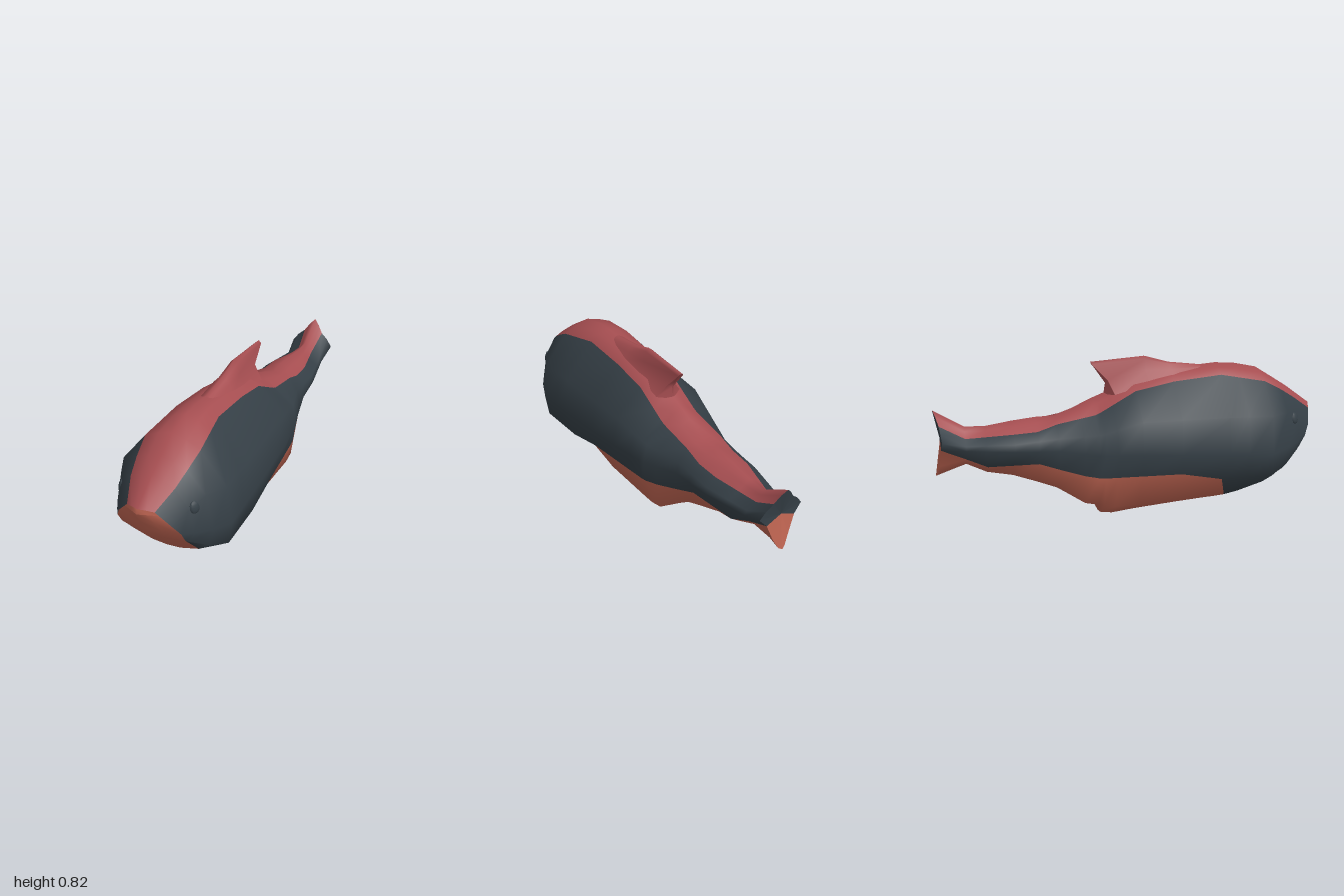
import * as THREE from 'three';

// Lengthwise guide lines on the left half, nose to tail: [z, x, y]
const back = [[.995, 0, .525], [.85, 0, .63], [.68, 0, .735], [.5, 0, .773], [.37, 0, .76], [.2, 0, .75], [0, 0, .71],
  [-.13, 0, .645], [-.2, 0, .62], [-.4, 0, .53], [-.5, 0, .535], [-.7, 0, .515], [-.82, 0, .49], [-1, 0, .6]];
const redEdge = [[.965, .07, .51], [.87, .11, .575], [.7, .145, .68], [.44, .11, .725], [.2, .105, .7], [0, .1, .66],
  [-.2, .1, .55], [-.4, .1, .515], [-.5, .1, .482], [-.62, .095, .475], [-.85, .042, .455], [-.975, .055, .53]];
const shoulder = [[.94, .135, .44], [.8, .207, .53], [.68, .27, .525], [.4, .266, .535], [0, .245, .53], [-.2, .207, .47],
  [-.4, .147, .45], [-.62, .143, .435], [-.85, .095, .43], [-.97, .09, .5]];
const flank = [[.91, .165, .385], [.8, .245, .355], [.68, .295, .335], [.4, .283, .345], [0, .263, .37], [-.2, .227, .37],
  [-.4, .157, .39], [-.62, .15, .4], [-.85, .108, .41], [-.965, .12, .46]];
const lowerFlank = [[.88, .165, .33], [.8, .22, .265], [.68, .277, .215], [.41, .267, .215], [.2, .258, .255],
  [-.2, .212, .25], [-.3, .182, .265], [-.5, .13, .325], [-.75, .1, .32], [-.85, .075, .36], [-.97, .08, .415]];
const belly = [[.87, .16, .32], [.78, .175, .215], [.65, .155, .125], [.48, .125, .08], [.2, .155, .075], [-.12, .157, .077],
  [-.21, .172, .1], [-.28, .17, .115], [-.4, .09, .19], [-.6, .065, .255], [-.75, .05, .285], [-.86, .045, .335],
  [-.98, .045, .325]];
const keel = [[.89, 0, .31], [.78, 0, .18], [.68, 0, .11], [.5, 0, .045], [.2, 0, .035], [0, 0, .015], [-.12, 0, 0],
  [-.19, 0, .01], [-.21, 0, .07], [-.28, 0, .095], [-.4, 0, .16], [-.6, 0, .24], [-.75, 0, .27], [-.86, 0, .325], [-1, 0, .265]];

const STATIONS = [.86, .78, .68, .55, .45, .2, 0, -.12, -.18, -.21, -.28, -.4, -.5, -.62, -.75, -.85];
const THROAT = STATIONS.indexOf(.45) + 1;

// Point of a guide line at z, clamped to its ends
function at(line, z) {
  if (z >= line[0][0]) z = line[0][0];
  let k = 1;
  while (k < line.length - 1 && line[k][0] > z) k++;
  const [a, b] = [line[k - 1], line[k]];
  const t = Math.min(1, (a[0] - z) / (a[0] - b[0]));
  return new THREE.Vector3(a[1] + (b[1] - a[1]) * t, a[2] + (b[2] - a[2]) * t, a[0] + (b[0] - a[0]) * t);
}

const mirror = v => new THREE.Vector3(-v.x, v.y, v.z);

// Closed cross-section: 9 points down the left side, 7 mirrored back up
function ring(z) {
  const gill = z === .45 ? .04 : 0;
  const p = [at(back, z), at(redEdge, z), at(shoulder, z), at(flank, z), at(lowerFlank, z - gill),
    at(belly, z + gill * .7), at(keel, z)];
  const backMid = p[0].clone().lerp(p[1], .5);
  backMid.y = p[0].y + (p[1].y - p[0].y) * .4;
  const keelMid = p[6].clone().lerp(p[5], .43);
  keelMid.y = p[6].y + (p[5].y - p[6].y) * .17;
  const half = [p[0], backMid, ...p.slice(1, 6), keelMid, p[6]];
  return [...half, ...half.slice(1, 8).reverse().map(mirror)];
}

// Surface through rows of points; pick(row, column) chooses the material group
function surface(rows, closed, pick = () => 0) {
  const n = rows[0].length, buckets = [[], [], []];
  for (let r = 0; r < rows.length - 1; r++) {
    for (let i = 0; i < (closed ? n : n - 1); i++) {
      const j = (i + 1) % n, a = r * n + i, b = r * n + j;
      buckets[pick(r, i)].push(a, b, a + n, b, b + n, a + n);
    }
  }
  const geo = new THREE.BufferGeometry().setFromPoints(rows.flat());
  geo.setIndex(buckets.flat());
  let start = 0;
  buckets.forEach((b, m) => {
    if (b.length) geo.addGroup(start, b.length, m);
    start += b.length;
  });
  geo.computeVertexNormals();
  return geo;
}

export function createModel() {
  const group = new THREE.Group();
  const material = (name, color) => {
    const m = new THREE.MeshStandardMaterial({ color });
    m.name = name;
    return m;
  };
  const red = material('backRed', 0xa64e51);
  const dark = material('flankSlate', 0x353f46);
  const orange = material('bellyOrange', 0xc06552);
  const add = (name, geo, mat) => {
    const mesh = new THREE.Mesh(geo, mat);
    mesh.name = name;
    group.add(mesh);
    return mesh;
  };

  // Body with red back, dark flanks and orange belly
  const rings = [2, ...STATIONS, -2].map(ring);
  const band = (r, i) => {
    const m = Math.min(i, 15 - i);
    if (m < 2) return 0;
    return m < 5 || (m === 5 && r < THROAT) ? 1 : 2;
  };
  add('body', surface(rings, true, band), [red, dark, orange]);

  // Upper lip ledge and mouth plate, fitted between the sides of the front rim
  const rim = rings[0];
  const across = (v, y, z) => {
    const mid = new THREE.Vector3(0, y, z), between = mid.clone().lerp(v, .5);
    return [v, between, mid, mirror(between), mirror(v)];
  };
  const lipTop = [2, 1, 0, 15, 14].map(i => rim[i]);
  const lipEdge = across(rim[2].clone().lerp(rim[3], .25), .5, 1);
  const chin = [6, 7, 8, 9, 10].map(i => rim[i]);
  add('upperLip', surface([lipTop, lipEdge], false), orange);
  add('mouth', surface([lipEdge, across(rim[3], .45, .98), across(rim[4], .395, .96), across(rim[5], .34, .93), chin],
    false), orange);

  // Hollow end of the tail, its lower lobe orange
  const tail = rings[rings.length - 1];
  const hub = tail.map(() => new THREE.Vector3(0, .45, -.97));
  add('tailEnd', surface([tail, hub], true, (r, i) => (Math.min(i, 15 - i) < 5 ? 0 : 1)), [dark, orange]);

  // Dorsal fin sections: ridge, upper side, hollow waist and flared root, each [x, y, z]
  const finSections = [
    [[0, .762, .37], [.015, .757, .37], [.03, .75, .37], [.045, .738, .37]],
    [[0, .783, .2], [.02, .775, .2], [.042, .752, .2], [.07, .715, .21]],
    [[0, .82, .07], [.018, .805, .07], [.03, .75, .07], [.07, .685, .08]],
    [[0, .802, -.21], [.015, .79, -.205], [.019, .705, -.125], [.07, .64, -.1]],
    [[0, .745, -.17], [0, .73, -.155], [0, .69, -.135], [0, .63, -.145]],
  ].map(section => {
    const side = section.map(p => new THREE.Vector3(...p));
    return [...side.slice(1).reverse().map(mirror), ...side];
  });
  add('dorsalFinSides', surface(finSections.slice(0, 4), false), red);
  add('dorsalFinRear', surface(finSections.slice(3), false), red);

  // Small raised eyes
  for (const side of [1, -1]) {
    const eye = add(side > 0 ? 'leftEye' : 'rightEye', new THREE.SphereGeometry(1, 10, 8), dark);
    eye.scale.set(.01, .03, .026);
    eye.position.set(side * .19, .49, .832);
    eye.rotation.set(0, -side * .5, side * .25);
  }
  return group;
}
